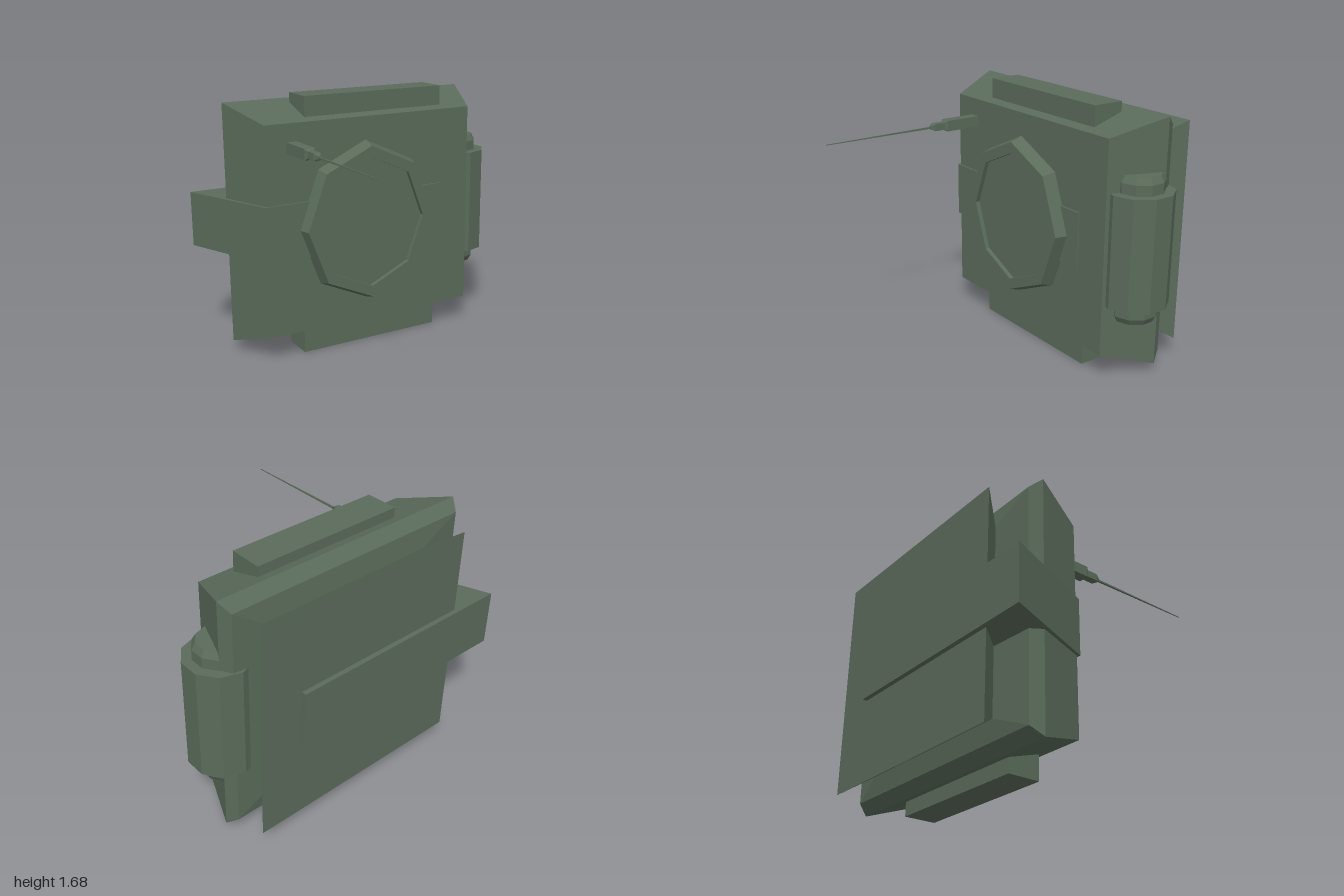
import * as THREE from 'three';

const green = new THREE.MeshStandardMaterial({ color: 0x5a6b5a, flatShading: true });
green.name = 'olive green';

// Counter-clockwise rectangle section at depth z
const rect = (z, x0, x1, y0, y1) => [[x0, y0, z], [x1, y0, z], [x1, y1, z], [x0, y1, z]];
const square = (z, cx, cy, h) => rect(z, cx - h, cx + h, cy - h, cy + h);

// Eight-sided oval section at depth z
const octagon = (z, cx, cy, rx, ry) => Array.from({ length: 8 }, (_, i) => {
  const a = i * Math.PI / 4;
  return [cx + rx * Math.cos(a), cy + ry * Math.sin(a), z];
});

// Closed faceted solid through sections listed from back to front
function loft(rings) {
  const pos = [];
  const tri = (a, b, c) => pos.push(...a, ...b, ...c);
  const n = rings[0].length;
  for (let k = 0; k < rings.length - 1; k++) {
    const r = rings[k], s = rings[k + 1];
    for (let i = 0; i < n; i++) {
      const j = (i + 1) % n;
      tri(r[i], r[j], s[j]);
      tri(r[i], s[j], s[i]);
    }
  }
  const first = rings[0], last = rings[rings.length - 1];
  for (let i = 1; i < n - 1; i++) {
    tri(first[0], first[i + 1], first[i]);
    tri(last[0], last[i], last[i + 1]);
  }
  const g = new THREE.BufferGeometry();
  g.setAttribute('position', new THREE.Float32BufferAttribute(pos, 3));
  g.computeVertexNormals();
  return g;
}

export function createModel() {
  const model = new THREE.Group();
  const add = (name, geometry, x = 0, y = 0, z = 0, parent = model) => {
    const m = new THREE.Mesh(geometry, green);
    m.name = name;
    m.position.set(x, y, z);
    parent.add(m);
    return m;
  };

  // Bevelled case, pinched at the rear and flaring into the back plate
  add('case', loft([
    rect(-0.83, -0.69, 0.81, 0.14, 1.57),
    rect(-0.667, -0.54, 0.655, 0.25, 1.45),
    rect(-0.65, -0.82, 0.845, 0.13, 1.58),
    rect(-0.58, -0.865, 0.885, 0.07, 1.64),
    rect(-0.24, -0.74, 0.755, 0.175, 1.535),
  ]));

  // Slanted band wrapping the case
  add('sideBand', loft([
    rect(-0.86, -1, 0.53, 0.675, 1.035),
    rect(-0.228, -0.755, 0.53, 0.675, 1.035),
  ]));

  // Blocks on the top and bottom edges
  add('topBlock', new THREE.BoxGeometry(1.005, 0.13, 0.21), 0.0625, 1.617, -0.405);
  add('bottomBlock', new THREE.BoxGeometry(1.01, 0.155, 0.21), 0.025, 0.0775, -0.405);

  // Eight-sided front cover with a shallow recess
  add('frontCover', loft([
    octagon(-0.25, -0.045, 0.855, 0.48, 0.53),
    octagon(-0.235, -0.045, 0.855, 0.48, 0.53),
    octagon(-0.155, -0.045, 0.855, 0.457, 0.503),
    octagon(-0.155, -0.045, 0.855, 0.39, 0.43),
    octagon(-0.185, -0.045, 0.855, 0.39, 0.43),
  ]));

  // Ten-sided canister on the left side, with chamfered end caps
  const canister = new THREE.Group();
  canister.name = 'canister';
  canister.position.set(0.8, 0.855, -0.462);
  model.add(canister);
  add('canisterBody', new THREE.CylinderGeometry(0.211, 0.211, 0.71, 10), 0, 0, 0, canister);
  for (const s of [1, -1]) {
    const [top, bottom] = s > 0 ? [0.128, 0.15] : [0.15, 0.128];
    add('canisterCap', new THREE.CylinderGeometry(0.15, 0.15, 0.07, 10), 0, s * 0.385, 0, canister);
    add('canisterCapBevel', new THREE.CylinderGeometry(top, bottom, 0.04, 10), 0, s * 0.44, 0, canister);
  }

  // Antenna socket and tapering whip, pointing forward
  const ax = -0.56, ay = 1.385;
  add('antennaSocket', loft([
    square(-0.26, ax, ay, 0.035),
    square(0, ax, ay, 0.035),
    square(0.015, ax, ay, 0.023),
    square(0.09, ax, ay, 0.023),
    square(0.12, ax, ay, 0.009),
  ]));
  add('antennaWhip', loft([
    square(0.11, ax, ay, 0.006),
    square(0.86, ax, ay, 0.002),
  ]));

  return model;
}
